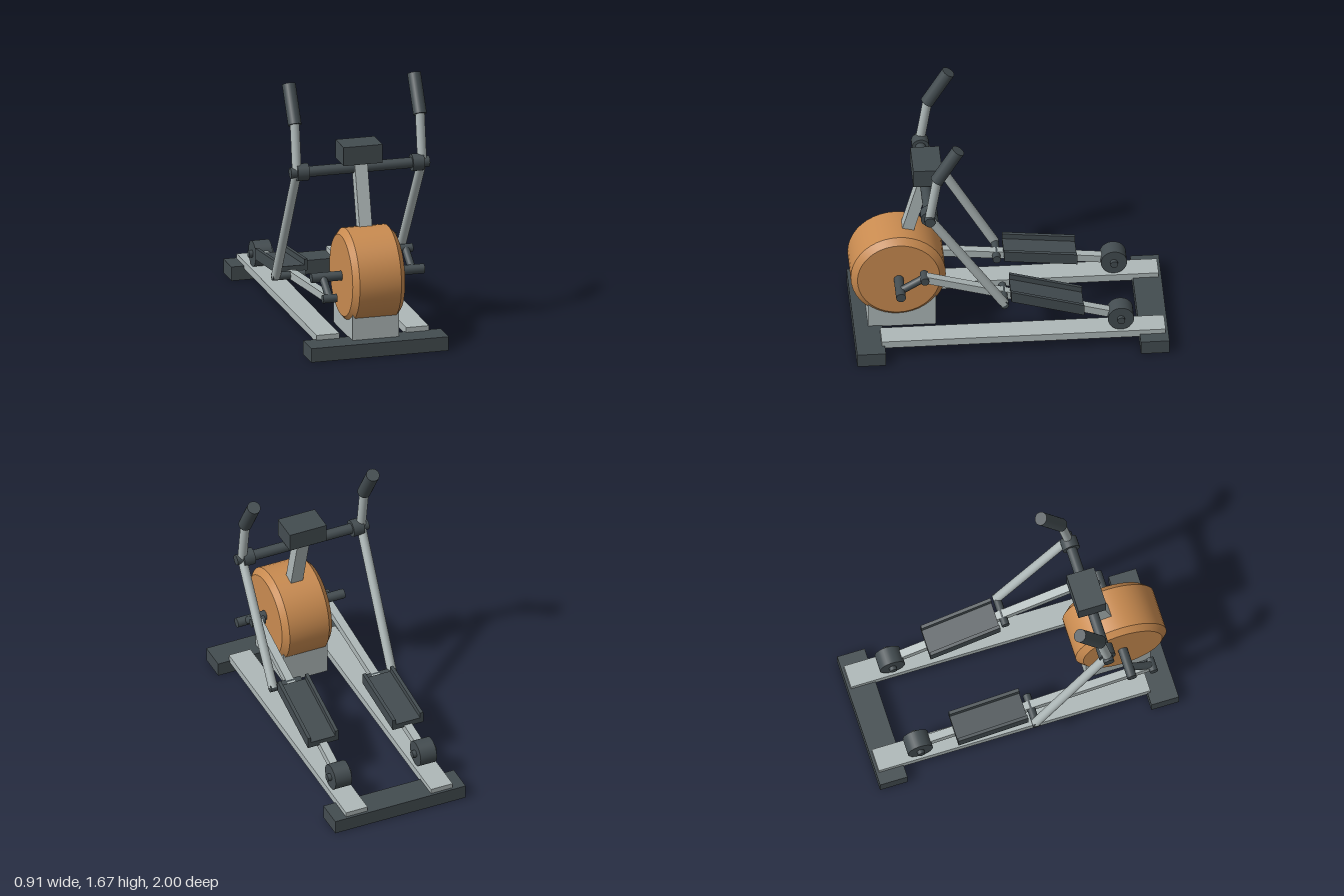
import * as THREE from 'three';
import { toCreasedNormals } from 'three/addons/utils/BufferGeometryUtils.js';

export function createModel() {
  const model = new THREE.Group();
  model.name = 'ellipticalTrainer';
  const material = (name, color) => {
    const m = new THREE.MeshStandardMaterial({ color });
    m.name = name;
    return m;
  };
  const dark = material('charcoal', 0x434c50);
  const light = material('lightGrey', 0xaeb8b8);
  const orange = material('orange', 0xc98b50);

  const add = (name, geometry, mat) => {
    const mesh = new THREE.Mesh(geometry, mat);
    mesh.name = name;
    model.add(mesh);
    return mesh;
  };
  // Box given by its limits on each axis
  const box = (name, mat, [x0, x1], [y0, y1], [z0, z1]) => {
    const mesh = add(name, new THREE.BoxGeometry(x1 - x0, y1 - y0, z1 - z0), mat);
    mesh.position.set((x0 + x1) / 2, (y0 + y1) / 2, (z0 + z1) / 2);
    return mesh;
  };
  // Round bar between two points
  const rod = (name, mat, a, b, r, sides = 20) => {
    const p = new THREE.Vector3(...a), q = new THREE.Vector3(...b);
    const d = q.clone().sub(p);
    const mesh = add(name, new THREE.CylinderGeometry(r, r, d.length(), sides), mat);
    mesh.position.copy(p).add(q).multiplyScalar(0.5);
    mesh.quaternion.setFromUnitVectors(new THREE.Vector3(0, 1, 0), d.normalize());
    return mesh;
  };
  // Square bar between two points that share the same x
  const beam = (name, mat, x, [y0, z0], [y1, z1], width, height) => {
    const dy = y1 - y0, dz = z1 - z0;
    const mesh = add(name, new THREE.BoxGeometry(width, height, Math.hypot(dy, dz)), mat);
    mesh.position.set(x, (y0 + y1) / 2, (z0 + z1) / 2);
    mesh.rotation.x = -Math.atan2(dy, dz);
    return mesh;
  };

  // Base
  box('frontFoot', dark, [-0.453, 0.453], [0, 0.092], [0.8, 0.982]);
  box('rearFoot', dark, [-0.453, 0.453], [0, 0.092], [-1, -0.818]);
  box('flywheelSupport', light, [-0.153, 0.153], [0.085, 0.4], [0.46, 0.89]);

  // Flywheel housing with bevelled rims
  const profile = [[0, -0.173], [0.262, -0.173], [0.302, -0.137], [0.302, 0.137], [0.262, 0.173], [0, 0.173]]
    .map(([r, y]) => new THREE.Vector2(r, y));
  const drum = add('flywheel', toCreasedNormals(new THREE.LatheGeometry(profile, 40), 0.5), orange);
  drum.rotation.z = Math.PI / 2;
  drum.position.set(0, 0.469, 0.698);

  // Mast, console and crossbar
  beam('mast', light, 0, [0.6, 0.672], [1.17, 0.515], 0.084, 0.075);
  box('console', dark, [-0.128, 0.128], [1.16, 1.282], [0.418, 0.602]);
  rod('crossbar', dark, [-0.457, 1.118, 0.52], [0.457, 1.118, 0.52], 0.034);
  rod('crankAxle', dark, [-0.372, 0.467, 0.698], [0.372, 0.467, 0.698], 0.031);

  for (const s of [1, -1]) {
    const side = s > 0 ? 'left' : 'right';
    const x = s * 0.295, armX = s * 0.413;

    // The cranks point in opposite directions
    const pin = [0.467 + s * 0.095, 0.698 - s * 0.155];
    const wheel = [0.208, -0.7];
    const slope = (pin[0] - wheel[0]) / (pin[1] - wheel[1]);
    const barY = z => wheel[0] + slope * (z - wheel[1]);

    box(side + 'Rail', light, [x - 0.075, x + 0.075], [0.075, 0.124], [-0.982, 0.82]);
    rod(side + 'Crank', dark, [x, 0.467, 0.698], [x, ...pin], 0.025);
    rod(side + 'CrankPin', dark, [x - 0.046, ...pin], [x + 0.046, ...pin], 0.027);
    beam(side + 'FootBar', light, x, wheel, pin, 0.053, 0.05);

    // Roller
    rod(side + 'Roller', dark, [x - 0.056, ...wheel], [x + 0.056, ...wheel], 0.083, 32);
    rod(side + 'RollerAxle', dark, [x - 0.081, ...wheel], [x + 0.081, ...wheel], 0.024);

    // Pedal: a channel sheared to follow the foot bar
    const panel = (name, x0, x1, y0, y1) => {
      const g = new THREE.BoxGeometry(x1 - x0, y1 - y0, 0.463);
      g.translate((x0 + x1) / 2, (y0 + y1) / 2, -0.2315);
      const p = g.attributes.position;
      for (let i = 0; i < p.count; i++) p.setY(i, p.getY(i) + barY(p.getZ(i)));
      g.computeVertexNormals();
      add(name, g, dark).position.x = x;
    };
    panel(side + 'PedalPlate', -0.106, 0.106, 0.012, 0.05);
    panel(side + 'PedalOuterLip', -0.106, -0.084, 0.05, 0.087);
    panel(side + 'PedalInnerLip', 0.084, 0.106, 0.05, 0.087);

    // Swinging handle arm
    const joint = [barY(0.045), 0.045];
    rod(side + 'ArmPin', dark, [s * 0.22, ...joint], [s * 0.437, ...joint], 0.026);
    rod(side + 'LowerArm', light, [armX, ...joint], [armX, 1.118, 0.52], 0.03);
    rod(side + 'UpperArm', light, [armX, 1.118, 0.52], [armX, 1.44, 0.469], 0.03);
    rod(side + 'Grip', dark, [armX, 1.42, 0.474], [armX, 1.65, 0.338], 0.043, 24);
    rod(side + 'Collar', dark, [s * 0.342, 1.118, 0.52], [s * 0.417, 1.118, 0.52], 0.055, 24);
  }
  return model;
}
